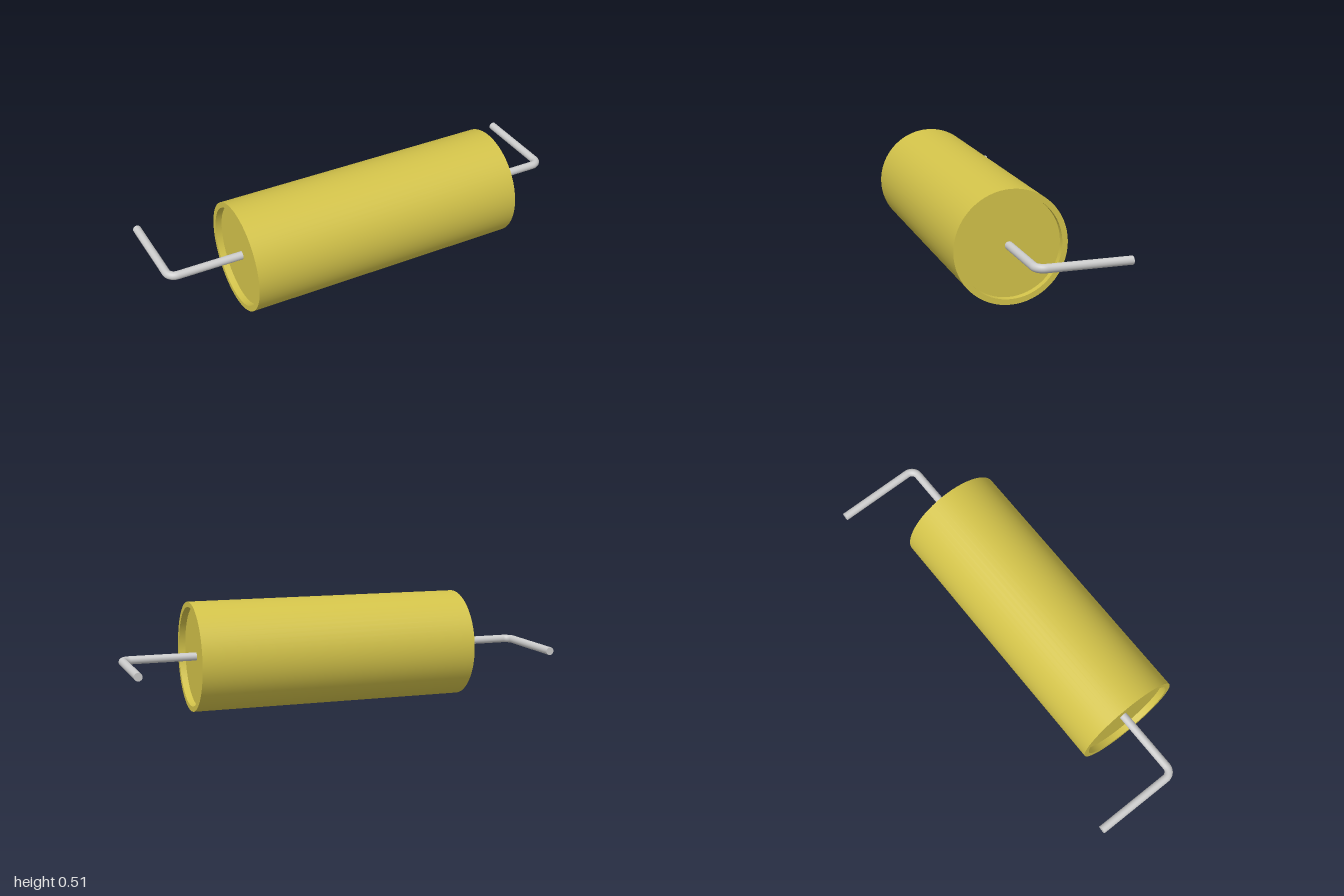
import * as THREE from 'three';
import { mergeGeometries } from 'three/addons/utils/BufferGeometryUtils.js';

const AXIS_Y = 0.255, AXIS_Z = 0.08;      // body axis, parallel to x
const RADIUS = 0.255, HALF = 0.665;       // body size
const RECESS_R = 0.23, RECESS_D = 0.03;   // sunken end faces
const WIRE_R = 0.019, WIRE_X = 0.981, WIRE_END = -0.335, BEND = 0.04;

// Revolve each profile segment separately so the edges between them stay sharp
function sharpLathe(profile, sides) {
  const bands = [];
  for (let i = 0; i < profile.length - 1; i++) {
    const pair = [profile[i], profile[i + 1]].map(([r, y]) => new THREE.Vector2(r, y));
    bands.push(new THREE.LatheGeometry(pair, sides));
  }
  return mergeGeometries(bands);
}

// Lead wire on one side: out of the end face, round a bend, then to the back
function makeLead(side, material) {
  const p = (x, z) => new THREE.Vector3(side * x, AXIS_Y, z);
  const path = new THREE.CurvePath();
  const k = BEND * 0.448; // cubic handle inset for a near-circular quarter bend
  path.add(new THREE.LineCurve3(p(HALF - RECESS_D, AXIS_Z), p(WIRE_X - BEND, AXIS_Z)));
  path.add(new THREE.CubicBezierCurve3(
    p(WIRE_X - BEND, AXIS_Z), p(WIRE_X - k, AXIS_Z),
    p(WIRE_X, AXIS_Z - k), p(WIRE_X, AXIS_Z - BEND)));
  path.add(new THREE.LineCurve3(p(WIRE_X, AXIS_Z - BEND), p(WIRE_X, WIRE_END)));

  const lead = new THREE.Group();
  const wire = new THREE.Mesh(new THREE.TubeGeometry(path, 100, WIRE_R, 20), material);
  wire.name = 'wire';
  const tip = new THREE.Mesh(new THREE.CircleGeometry(WIRE_R, 20), material);
  tip.name = 'wireTip';
  tip.rotation.y = Math.PI;
  tip.position.copy(p(WIRE_X, WIRE_END));
  lead.add(wire, tip);
  return lead;
}

export function createModel() {
  const model = new THREE.Group();
  model.name = 'axialComponent';
  const yellow = new THREE.MeshStandardMaterial({ color: 0xd3c34a });
  const metal = new THREE.MeshStandardMaterial({ color: 0xcccccc });

  // Cylindrical body with a recessed disc at each end
  const floor = HALF - RECESS_D;
  const body = new THREE.Mesh(sharpLathe([
    [0, -floor], [RECESS_R, -floor], [RECESS_R, -HALF], [RADIUS, -HALF],
    [RADIUS, HALF], [RECESS_R, HALF], [RECESS_R, floor], [0, floor],
  ], 64), yellow);
  body.name = 'body';
  body.rotation.z = Math.PI / 2;
  body.position.set(0, AXIS_Y, AXIS_Z);
  model.add(body);

  // Bent lead wires
  for (const [side, name] of [[1, 'leftLead'], [-1, 'rightLead']]) {
    const lead = makeLead(side, metal);
    lead.name = name;
    model.add(lead);
  }
  return model;
}
